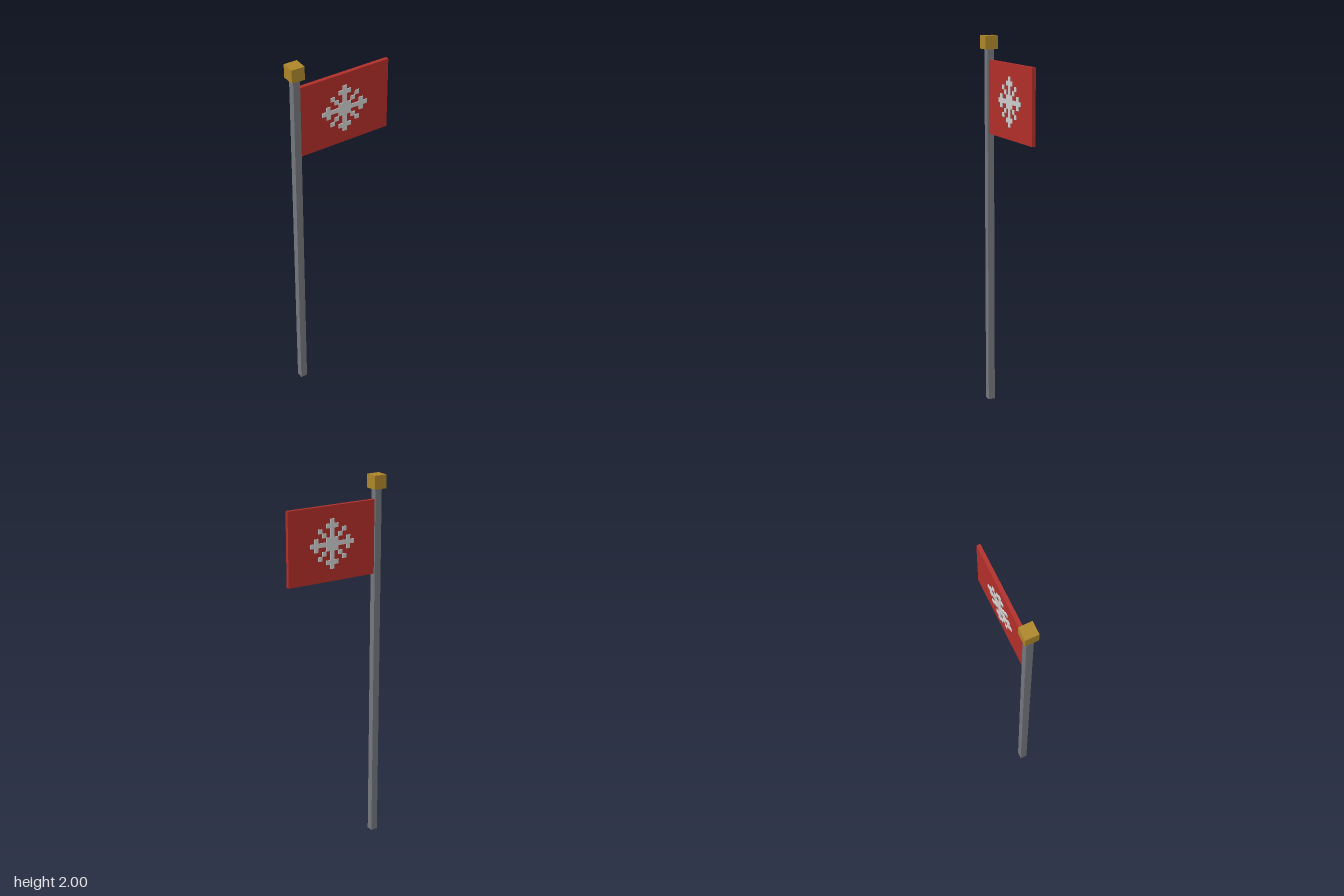
import * as THREE from 'three';

// One quadrant rule gives the whole pixel snowflake: x = filled cell
const FLAKE = [
  '.....x.....',
  '....xxx....',
  '..x..x..x..',
  '...x.x.x...',
  '.x..xxx..x.',
  'xxxxxxxxxxx',
];
const ROWS = [...FLAKE, ...FLAKE.slice(0, 5).reverse()];

export function createModel() {
  const group = new THREE.Group();
  const mat = (color) => new THREE.MeshStandardMaterial({ color });
  const grey = mat(0x72767c), gold = mat(0xac8529), red = mat(0xb02e29), white = mat(0xcccccc);

  function box(parent, name, size, pos, material) {
    const mesh = new THREE.Mesh(new THREE.BoxGeometry(...size), material);
    mesh.name = name;
    mesh.position.set(...pos);
    parent.add(mesh);
  }

  // Square pole with a cube on top
  const poleX = -0.245, finial = 0.07;
  box(group, 'pole', [0.037, 2 - finial, 0.037], [poleX, (2 - finial) / 2, 0], grey);
  box(group, 'finial', [finial, finial, finial], [poleX, 2 - finial / 2, 0], gold);

  // Stiff flag panel
  const flagX = 0.026, flagY = 1.682, flagDepth = 0.02;
  box(group, 'flag', [0.505, 0.387, flagDepth], [flagX, flagY, 0], red);

  // Raised snowflake on both faces of the flag
  const cell = 0.0234, relief = 0.0038;
  for (const side of [1, -1]) {
    const flake = new THREE.Group();
    flake.name = side > 0 ? 'frontSnowflake' : 'backSnowflake';
    flake.position.set(flagX, flagY, side * (flagDepth + relief) / 2);
    ROWS.forEach((row, r) => [...row].forEach((c, i) => {
      if (c === 'x') box(flake, 'snowflakeCell', [cell, cell, relief], [(i - 5) * cell, (5 - r) * cell, 0], white);
    }));
    group.add(flake);
  }
  return group;
}
